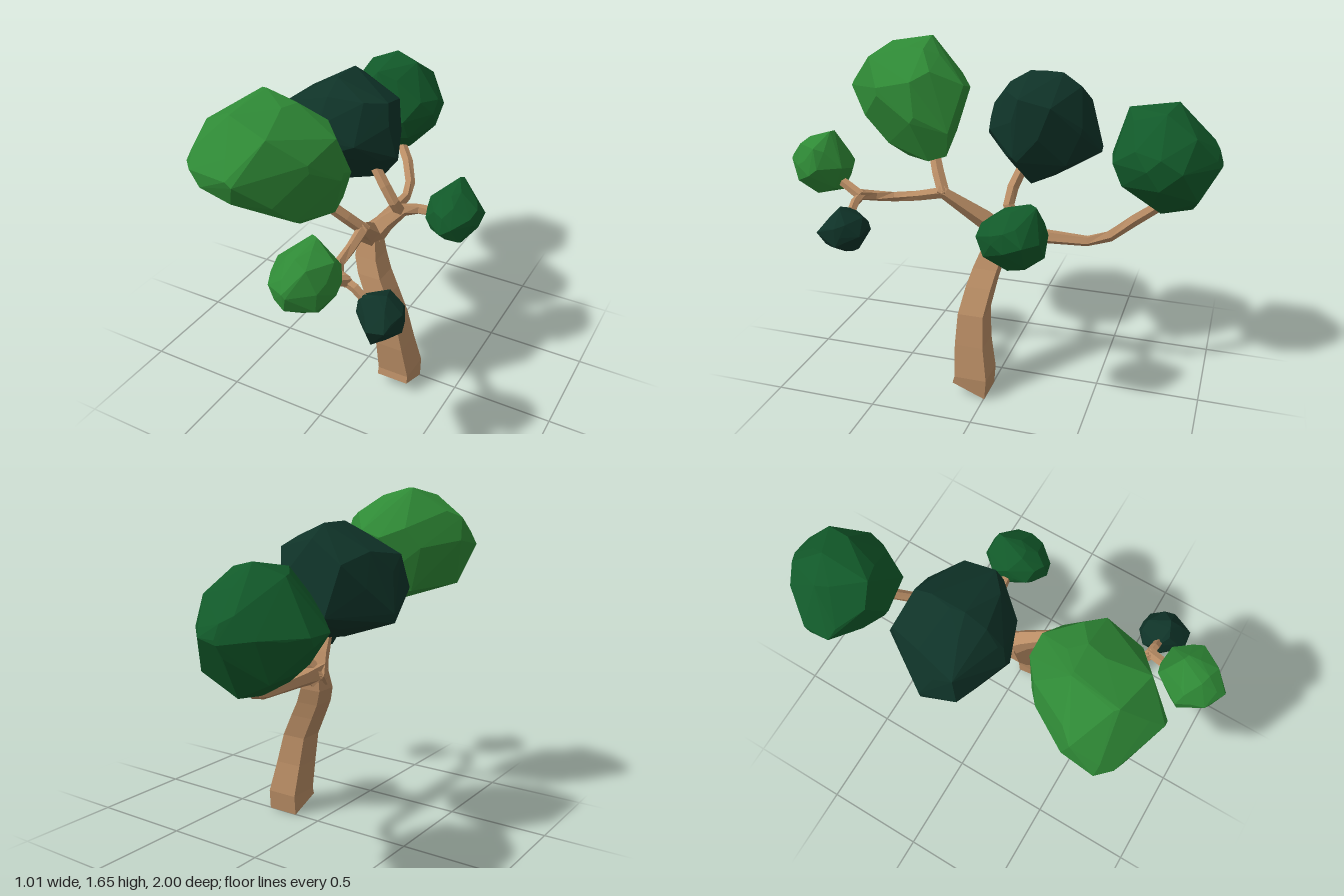
import * as THREE from 'three';
import { ConvexGeometry } from 'three/addons/geometries/ConvexGeometry.js';

const material = (color) => new THREE.MeshStandardMaterial({ color, flatShading: true });
const wood = material(0xb88c64);
const lightLeaf = material(0x2f8a36);
const midLeaf = material(0x125a2a);
const darkLeaf = material(0x0f3328);

function seeded(seed) {
  return () => {
    seed = (seed * 16807) % 2147483647;
    return seed / 2147483647;
  };
}

// Skin a run of rings, each given as [x, y, z, radius]
function loft(rings, sides, upright = false) {
  const centres = rings.map(([x, y, z]) => new THREE.Vector3(x, y, z));
  const up = new THREE.Vector3(0, 1, 0);
  const pos = [], index = [];
  centres.forEach((c, i) => {
    const a = centres[Math.max(i - 1, 0)], b = centres[Math.min(i + 1, centres.length - 1)];
    const t = upright ? up : b.clone().sub(a).normalize();
    const q = new THREE.Quaternion().setFromUnitVectors(up, t);
    for (let j = 0; j < sides; j++) {
      const ang = ((j + 0.5) / sides) * Math.PI * 2, r = rings[i][3];
      const p = new THREE.Vector3(Math.sin(ang) * r, 0, Math.cos(ang) * r).applyQuaternion(q).add(c);
      pos.push(p.x, p.y, p.z);
    }
  });
  const last = (rings.length - 1) * sides;
  for (let i = 0; i < last; i += sides) {
    for (let j = 0; j < sides; j++) {
      const k = (j + 1) % sides;
      index.push(i + j, i + k, i + sides + j, i + k, i + sides + k, i + sides + j);
    }
  }
  for (let j = 1; j < sides - 1; j++) {
    index.push(0, j + 1, j, last, last + j, last + j + 1);
  }
  const geo = new THREE.BufferGeometry();
  geo.setAttribute('position', new THREE.Float32BufferAttribute(pos, 3));
  geo.setIndex(index);
  geo.computeVertexNormals();
  return geo;
}

// Faceted crown: an ellipsoid trimmed by flat outlines.
// Each outline is { axes: [a, b], pts: [[a, b, depth], ...] }; its corners join the hull,
// at the middle of the crown where no depth is given.
function crown(min, max, count, seed, outlines) {
  const rand = seeded(seed);
  const centre = min.map((m, i) => (m + max[i]) / 2);
  const half = min.map((m, i) => (max[i] - m) / 2);
  const points = [];
  for (let i = 0; i < count; i++) {
    const y = 1 - (2 * (i + 0.5)) / count, r = Math.sqrt(1 - y * y);
    const ang = i * 2.39996 + (rand() - 0.5) * 0.5;
    const d = [r * Math.cos(ang) * half[0], y * half[1], r * Math.sin(ang) * half[2]];
    let reach = 0.97 + rand() * 0.1;
    for (const { axes: [a, b], pts } of outlines) {
      pts.forEach((p, n) => {
        const q = pts[(n + 1) % pts.length];
        const nx = q[1] - p[1], ny = p[0] - q[0];
        const dist = nx * (p[0] - centre[a]) + ny * (p[1] - centre[b]);
        const speed = (nx * d[a] + ny * d[b]) * Math.sign(dist);
        if (speed > 1e-6) reach = Math.min(reach, Math.abs(dist) / speed);
      });
    }
    points.push(new THREE.Vector3(...d.map((v, k) => centre[k] + v * reach)));
  }
  for (const { axes: [a, b], pts } of outlines) {
    for (const [u, v, depth = centre[3 - a - b]] of pts) {
      const corner = [depth, depth, depth];
      corner[a] = u;
      corner[b] = v;
      points.push(new THREE.Vector3(...corner));
    }
  }
  return new ConvexGeometry(points);
}

export function createModel() {
  const tree = new THREE.Group();
  tree.name = 'tree';
  const add = (name, geo, mat) => {
    const mesh = new THREE.Mesh(geo, mat);
    mesh.name = name;
    tree.add(mesh);
  };

  // Leaning square trunk, its foot cut at a slant
  const trunk = loft([
    [0.22, 0, 0.078, 0.115], [0.22, 0.1, 0.069, 0.114], [0.197, 0.26, 0.085, 0.1],
    [0.168, 0.41, 0.087, 0.09], [0.105, 0.53, 0.068, 0.088], [0.06, 0.61, 0.05, 0.085],
    [0.025, 0.69, 0.025, 0.08], [0.015, 0.79, 0.005, 0.06],
  ], 4, true);
  const foot = trunk.attributes.position;
  for (let j = 0; j < 4; j++) if (foot.getZ(j) > 0.08) foot.setY(j, 0.065);
  trunk.computeVertexNormals();
  add('trunk', trunk, wood);

  // Branches
  const branches = {
    frontBranch: [[0, 0.74, -0.02, 0.065], [0.04, 0.84, 0.07, 0.05], [0.11, 0.98, 0.25, 0.03], [0.115, 0.99, 0.28, 0.026]],
    frontUpperBranch: [[0.115, 0.975, 0.25, 0.03], [0.05, 1.05, 0.3, 0.03], [-0.03, 1.13, 0.35, 0.028], [-0.1, 1.2, 0.42, 0.026]],
    frontLowerBranch: [[0.11, 0.985, 0.24, 0.028], [0.12, 0.955, 0.38, 0.025], [0.125, 0.94, 0.5, 0.025],
      [0.17, 0.95, 0.58, 0.026], [0.24, 0.975, 0.635, 0.027]],
    frontLeftTwig: [[0.21, 0.975, 0.62, 0.022], [0.28, 0.955, 0.63, 0.022], [0.36, 0.89, 0.635, 0.02]],
    frontTipTwig: [[0.24, 0.97, 0.62, 0.025], [0.215, 1.0, 0.69, 0.024], [0.19, 1.04, 0.78, 0.022]],
    backBranch: [[0.01, 0.775, 0.02, 0.06], [0.0, 0.77, -0.12, 0.04], [-0.01, 0.767, -0.42, 0.026],
      [-0.035, 0.795, -0.52, 0.028], [-0.1, 0.86, -0.62, 0.029], [-0.2, 0.915, -0.73, 0.027]],
    leftBranch: [[0, 0.75, 0, 0.065], [0.06, 0.83, -0.06, 0.045], [0.125, 0.89, -0.115, 0.034],
      [0.19, 0.89, -0.155, 0.026], [0.3, 0.89, -0.17, 0.024]],
    middleBranch: [[0.12, 0.87, -0.11, 0.03], [0.1, 0.95, -0.065, 0.028], [0.05, 1.02, -0.07, 0.028], [-0.03, 1.11, -0.1, 0.026]],
  };
  for (const [name, rings] of Object.entries(branches)) add(name, loft(rings, 5), wood);

  // Large crowns
  const FRONT = [0, 1], SIDE = [2, 1], TOP = [0, 2];
  add('frontCrown', crown([-0.49, 1.09, 0.22], [0.1, 1.65, 0.83], 24, 11, [
    { axes: FRONT, pts: [[-0.26, 1.65, 0.43], [-0.47, 1.51, 0.55], [-0.48, 1.4], [-0.43, 1.18, 0.6], [-0.2, 1.1, 0.42], [0.03, 1.1, 0.36], [0.1, 1.3, 0.42], [0.08, 1.49, 0.42], [-0.1, 1.61, 0.42]] },
    { axes: SIDE, pts: [[0.43, 1.65, -0.24], [0.65, 1.61, -0.27], [0.83, 1.42, -0.18], [0.78, 1.29, -0.2], [0.5, 1.09, -0.06], [0.27, 1.13, 0.02], [0.22, 1.45, -0.1]] },
    { axes: TOP, pts: [[0.05, 0.25, 1.25], [-0.2, 0.22, 1.42], [-0.36, 0.34], [-0.49, 0.68], [-0.43, 0.74], [-0.15, 0.83, 1.4], [0.06, 0.6, 1.41], [0.1, 0.4, 1.33]] },
  ]), lightLeaf);
  add('middleCrown', crown([-0.51, 1.01, -0.42], [0.1, 1.52, 0.13], 24, 23, [
    { axes: FRONT, pts: [[-0.51, 1.1], [-0.25, 1.01], [0, 1.03], [0.1, 1.16, -0.1], [0.05, 1.44, -0.09], [-0.22, 1.52], [-0.45, 1.38, 0]] },
    { axes: SIDE, pts: [[-0.08, 1.52], [-0.24, 1.52], [-0.33, 1.46], [-0.42, 1.12, -0.3], [-0.2, 1.01], [-0.02, 1.02], [0.13, 1.2], [0.1, 1.35], [0.02, 1.46]] },
    { axes: TOP, pts: [[-0.33, -0.42, 1.14], [-0.06, -0.36], [0.07, -0.19], [0.1, -0.08, 1.18], [-0.04, 0.07], [-0.24, 0.13], [-0.48, 0.03, 1.23], [-0.51, -0.15, 1.14]] },
  ]), darkLeaf);
  add('backCrown', crown([-0.51, 0.87, -1], [0.01, 1.41, -0.48], 24, 37, [
    { axes: FRONT, pts: [[-0.51, 1.1], [-0.45, 1], [-0.25, 0.87], [-0.15, 0.89], [0, 1.05], [0.01, 1.2], [-0.12, 1.38], [-0.38, 1.36]] },
    { axes: SIDE, pts: [[-0.78, 1.41], [-0.55, 1.37], [-0.48, 1.13], [-0.52, 1.02], [-0.72, 0.87], [-0.88, 0.89], [-1, 1.12], [-0.98, 1.2]] },
    { axes: TOP, pts: [[-0.24, -1], [-0.16, -1], [0, -0.84], [0.01, -0.68], [-0.08, -0.51], [-0.26, -0.48], [-0.51, -0.63], [-0.51, -0.76], [-0.38, -0.93]] },
  ]), midLeaf);

  // Small crowns
  add('smallFrontCrown', crown([0.03, 0.95, 0.69], [0.32, 1.26, 1], 22, 51, [
    { axes: FRONT, pts: [[0.2, 1.26, 0.78], [0.3, 1.2, 0.82], [0.32, 1.07], [0.24, 0.96], [0.13, 0.96], [0.04, 1.04], [0.06, 1.17]] },
    { axes: SIDE, pts: [[0.77, 1.26], [0.9, 1.22], [1, 1.12], [0.99, 1.04], [0.87, 0.95], [0.74, 0.97], [0.69, 1.08]] },
    { axes: TOP, pts: [[0.12, 0.7], [0.26, 0.7], [0.32, 0.8], [0.28, 0.92], [0.19, 1], [0.08, 0.95], [0.03, 0.83]] },
  ]), lightLeaf);
  add('smallDarkCrown', crown([0.29, 0.75, 0.52], [0.5, 0.97, 0.75], 22, 67, [
    { axes: FRONT, pts: [[0.3, 0.93], [0.43, 0.97], [0.5, 0.9], [0.5, 0.81], [0.4, 0.75], [0.35, 0.76], [0.3, 0.87]] },
    { axes: SIDE, pts: [[0.75, 0.85], [0.65, 0.97], [0.54, 0.93], [0.52, 0.88], [0.57, 0.77], [0.64, 0.75], [0.71, 0.76]] },
    { axes: TOP, pts: [[0.36, 0.52], [0.46, 0.53], [0.5, 0.61], [0.47, 0.74], [0.4, 0.74], [0.3, 0.66], [0.3, 0.57]] },
  ]), darkLeaf);
  add('smallLeftCrown', crown([0.24, 0.76, -0.31], [0.5, 1.07, 0], 22, 83, [
    { axes: FRONT, pts: [[0.36, 1.07, -0.24], [0.49, 0.97], [0.5, 0.88], [0.42, 0.77], [0.32, 0.78], [0.25, 0.86], [0.25, 0.98]] },
    { axes: SIDE, pts: [[-0.12, 1.03], [-0.27, 1.06], [-0.3, 0.97], [-0.31, 0.83], [-0.22, 0.76], [-0.07, 0.82], [0, 0.88], [-0.02, 0.96]] },
    { axes: TOP, pts: [[0.31, -0.31], [0.43, -0.3], [0.5, -0.24], [0.49, -0.1], [0.42, -0.01], [0.27, -0.06], [0.25, -0.12], [0.24, -0.23]] },
  ]), midLeaf);

  return tree;
}
